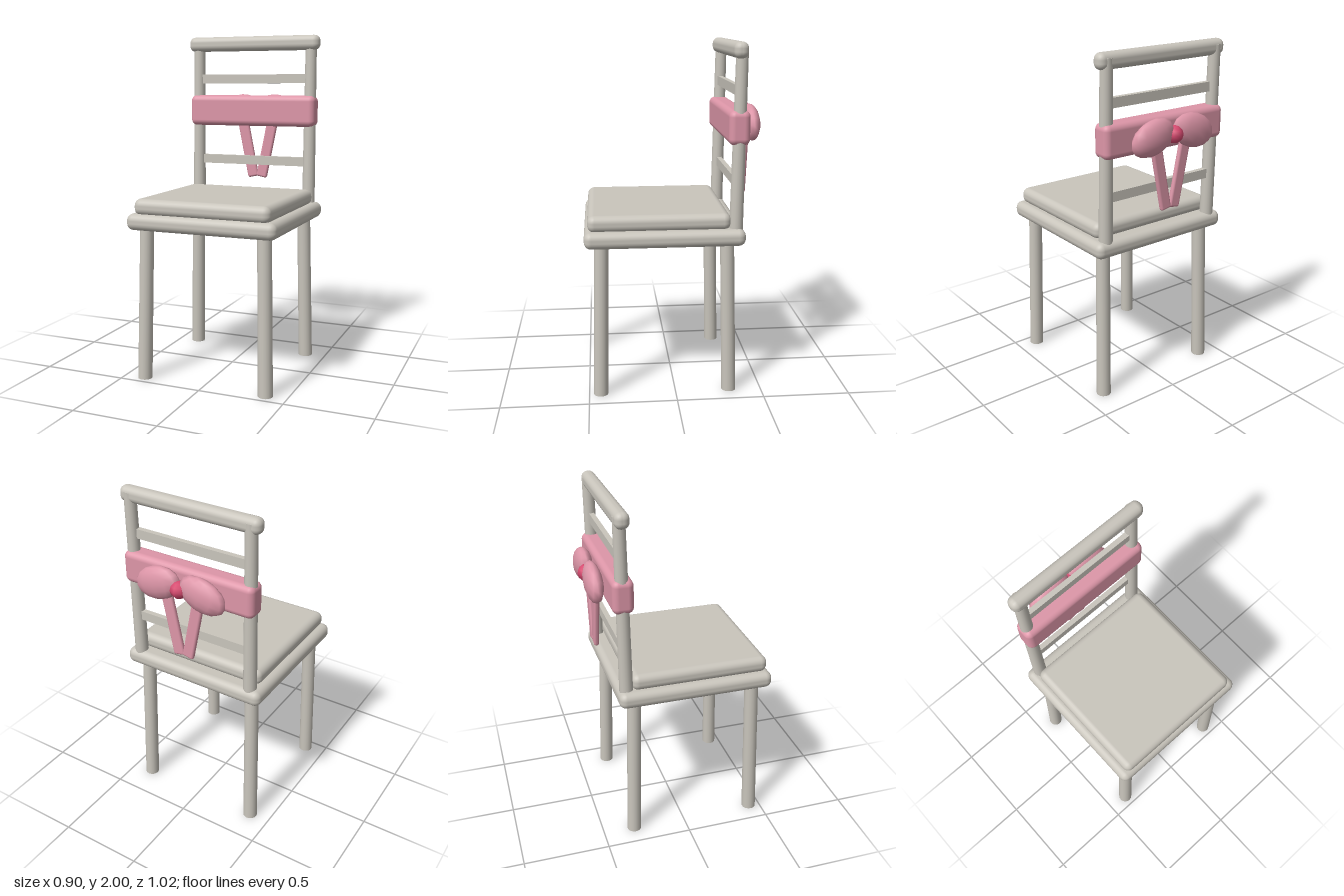
import * as THREE from 'three';
import { RoundedBoxGeometry } from 'three/addons/geometries/RoundedBoxGeometry.js';

export function createModel() {
  const model = new THREE.Group();
  model.name = 'chair';

  const paint = (name, color) => {
    const m = new THREE.MeshStandardMaterial({ color });
    m.name = name;
    return m;
  };
  const wood = paint('pale grey wood', 0xc9c5bc);
  const pink = paint('pink sash', 0xdd96a8);
  const rose = paint('rose knot', 0xd84a70);

  const add = (name, geometry, material, x = 0, y = 0, z = 0) => {
    const mesh = new THREE.Mesh(geometry, material);
    mesh.name = name;
    mesh.position.set(x, y, z);
    model.add(mesh);
    return mesh;
  };
  const rounded = (w, h, d, r) => new RoundedBoxGeometry(w, h, d, 3, r);

  // Round bar leaning from one point to another, with level ends
  const bar = (name, from, to, rBottom, rTop) => {
    const a = new THREE.Vector3(...from);
    const d = new THREE.Vector3(...to).sub(a);
    const g = new THREE.CylinderGeometry(rTop, rBottom, d.y, 16);
    g.translate(0, d.y / 2, 0);
    g.applyMatrix4(new THREE.Matrix4().set(
      1, d.x / d.y, 0, 0,
      0, 1, 0, 0,
      0, d.z / d.y, 1, 0,
      0, 0, 0, 1));
    add(name, g, wood, a.x, a.y, a.z);
  };

  // Seat and cushion
  add('seat', rounded(0.9, 0.095, 0.9, 0.04), wood, 0, 0.932, 0.06);
  add('seatCushion', rounded(0.82, 0.095, 0.8, 0.04), wood, 0, 1.017, 0.09);

  // Splayed legs and back posts
  for (const [side, s] of [['left', 1], ['right', -1]]) {
    bar(side + 'FrontLeg', [s * 0.375, 0, 0.433], [s * 0.357, 0.92, 0.413], 0.042, 0.04);
    bar(side + 'BackLeg', [s * 0.375, 0, -0.313], [s * 0.357, 0.92, -0.293], 0.042, 0.04);
    bar(side + 'BackPost', [s * 0.372, 0.96, -0.34], [s * 0.372, 1.972, -0.356], 0.039, 0.034);
  }

  // Back rail and slats
  add('topRail', rounded(0.86, 0.09, 0.08, 0.036), wood, 0, 1.955, -0.346);
  for (const y of [1.738, 1.227])
    add('backSlat', new THREE.BoxGeometry(0.7, 0.055, 0.03), wood, 0, y, -0.348);

  // Sash around the back
  add('sash', rounded(0.826, 0.19, 0.118, 0.035), pink, 0, 1.54, -0.347);

  // Bow on the rear: loops, hanging tails and knot
  for (const [side, s] of [['left', 1], ['right', -1]]) {
    const loop = add(side + 'BowLoop', new THREE.SphereGeometry(1, 12, 8), pink, s * 0.14, 1.54, -0.452);
    loop.scale.set(0.146, 0.096, 0.052);
    loop.rotation.z = -s * 0.31;
    const tail = add(side + 'BowTail', rounded(0.07, 0.4, 0.03, 0.013), pink, s * 0.067, 1.308, -0.431);
    tail.rotation.z = -s * 0.2;
  }
  add('bowKnot', new THREE.SphereGeometry(0.05, 8, 6), rose, 0, 1.54, -0.46);

  return model;
}
